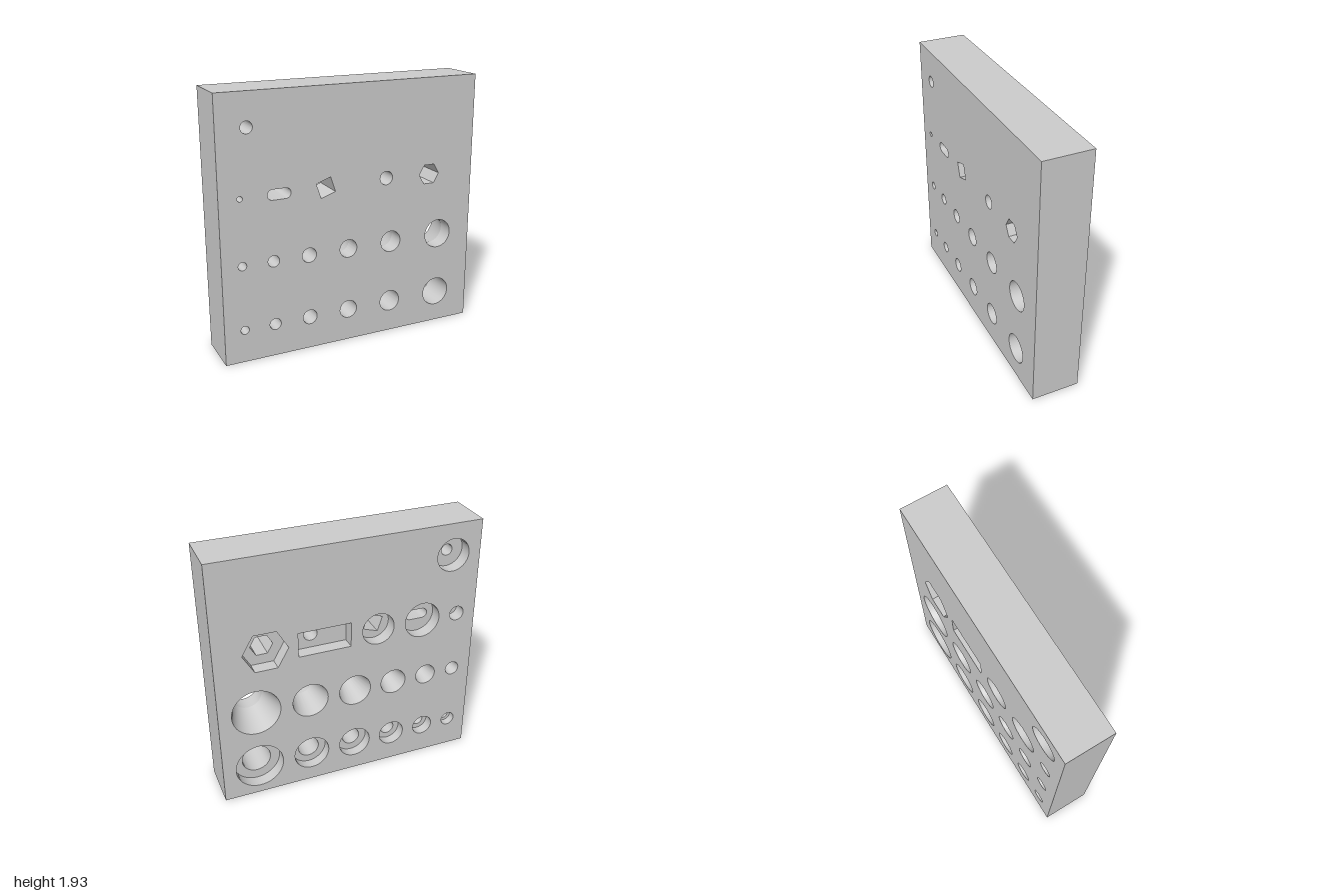
import * as THREE from 'three';
import { mergeGeometries, toCreasedNormals } from 'three/addons/utils/BufferGeometryUtils.js';

const W = 2, H = 1.93, FRONT = 0.18, BACK = -0.18;

// Outlines, all counter-clockwise
const polygon = (x, y, r, sides = 64, turn = 0) => Array.from({ length: sides }, (_, i) => {
  const a = turn + (i / sides) * Math.PI * 2;
  return new THREE.Vector2(x + r * Math.cos(a), y + r * Math.sin(a));
});
const rect = (x0, y0, x1, y1) => [[x0, y0], [x1, y0], [x1, y1], [x0, y1]].map(p => new THREE.Vector2(...p));
const slot = (x, y, halfLength, r) => Array.from({ length: 50 }, (_, i) => {
  const right = i < 25;
  const a = -Math.PI / 2 + (right ? i / 24 : 1 + (i - 25) / 24) * Math.PI;
  return new THREE.Vector2(x + (right ? 1 : -1) * (halfLength - r) + r * Math.cos(a), y + r * Math.sin(a));
});

// Inward-facing wall between two outlines with equal point counts
function wall(near, zNear, far, zFar) {
  const pos = [];
  near.forEach((a, i) => {
    const j = (i + 1) % near.length, b = near[j], c = far[j], d = far[i];
    pos.push(a.x, a.y, zNear, b.x, b.y, zNear, c.x, c.y, zFar);
    pos.push(a.x, a.y, zNear, c.x, c.y, zFar, d.x, d.y, zFar);
  });
  const g = new THREE.BufferGeometry();
  g.setAttribute('position', new THREE.Float32BufferAttribute(pos, 3));
  return toCreasedNormals(g, 0.2);
}

// Flat face with openings, looking forward or backward
function face(outline, holes, z, backward) {
  const shape = new THREE.Shape(outline);
  shape.holes = holes.map(h => new THREE.Path(h));
  const g = new THREE.ShapeGeometry(shape);
  if (backward) {
    const idx = g.index.array;
    for (let i = 0; i < idx.length; i += 3) [idx[i], idx[i + 1]] = [idx[i + 1], idx[i]];
  }
  const flat = g.toNonIndexed().translate(0, 0, z);
  flat.deleteAttribute('uv');
  flat.computeVertexNormals();
  return flat;
}

export function createModel() {
  const group = new THREE.Group();
  const material = new THREE.MeshStandardMaterial({ color: 0xcccccc });
  const add = (name, parts) => {
    const mesh = new THREE.Mesh(mergeGeometries(parts), material);
    mesh.name = name;
    group.add(mesh);
  };
  const frontHoles = [], backHoles = [];

  // Through hole opening into a wider flat-bottomed recess at the back
  function recessed(name, hole, recess, depth) {
    const z = BACK + depth;
    frontHoles.push(hole);
    backHoles.push(recess);
    add(name, [wall(hole, FRONT, hole, z), face(recess, [hole], z, true), wall(recess, z, recess, BACK)]);
  }
  // Through hole flaring into a cone at the back
  function countersunk(name, hole, rim, depth) {
    const z = BACK + depth;
    frontHoles.push(hole);
    backHoles.push(rim);
    add(name, [wall(hole, FRONT, hole, z), wall(hole, z, rim, BACK)]);
  }

  // Two graded rows: x, hole radius, back radius, counterbore depth, cone depth
  [
    [-0.85, 0.031, 0.055, 0.06, 0.15],
    [-0.62, 0.043, 0.08, 0.08, 0.18],
    [-0.35, 0.055, 0.1, 0.08, 0.2],
    [-0.04, 0.068, 0.124, 0.08, 0.22],
    [0.31, 0.081, 0.136, 0.08, 0.23],
    [0.72, 0.11, 0.182, 0.095, 0.24],
  ].forEach(([x, r, R, bore, cone], i) => {
    recessed(`counterbore${i + 1}`, polygon(x, 0.245, r), polygon(x, 0.245, R), bore);
    countersunk(`countersink${i + 1}`, polygon(x, 0.727, r), polygon(x, 0.727, R), cone);
  });

  // Row of special shapes
  recessed('smallHole', polygon(-0.85, 1.21, 0.02), polygon(-0.85, 1.21, 0.057), 0.1);
  recessed('slottedHole', slot(-0.567, 1.21, 0.087, 0.038), polygon(-0.567, 1.21, 0.137), 0.1);
  recessed('squareHole', polygon(-0.217, 1.21, 0.083, 4, 1.11), polygon(-0.217, 1.21, 0.123), 0.1);
  recessed('rectangularPocket', polygon(0.265, 1.222, 0.051), rect(-0.005, 1.115, 0.39, 1.305), 0.1);
  recessed('hexPocket', polygon(0.627, 1.21, 0.083, 6), polygon(0.627, 1.21, 0.167, 6), 0.1);

  // Single counterbore near the top corner
  recessed('topCounterbore', polygon(-0.785, 1.69, 0.043), polygon(-0.785, 1.69, 0.125), 0.1);

  // Plate faces and outer sides
  const outline = rect(-W / 2, 0, W / 2, H);
  const reversed = [...outline].reverse();
  add('plate', [
    face(outline, frontHoles, FRONT, false),
    face(outline, backHoles, BACK, true),
    wall(reversed, FRONT, reversed, BACK),
  ]);
  return group;
}
